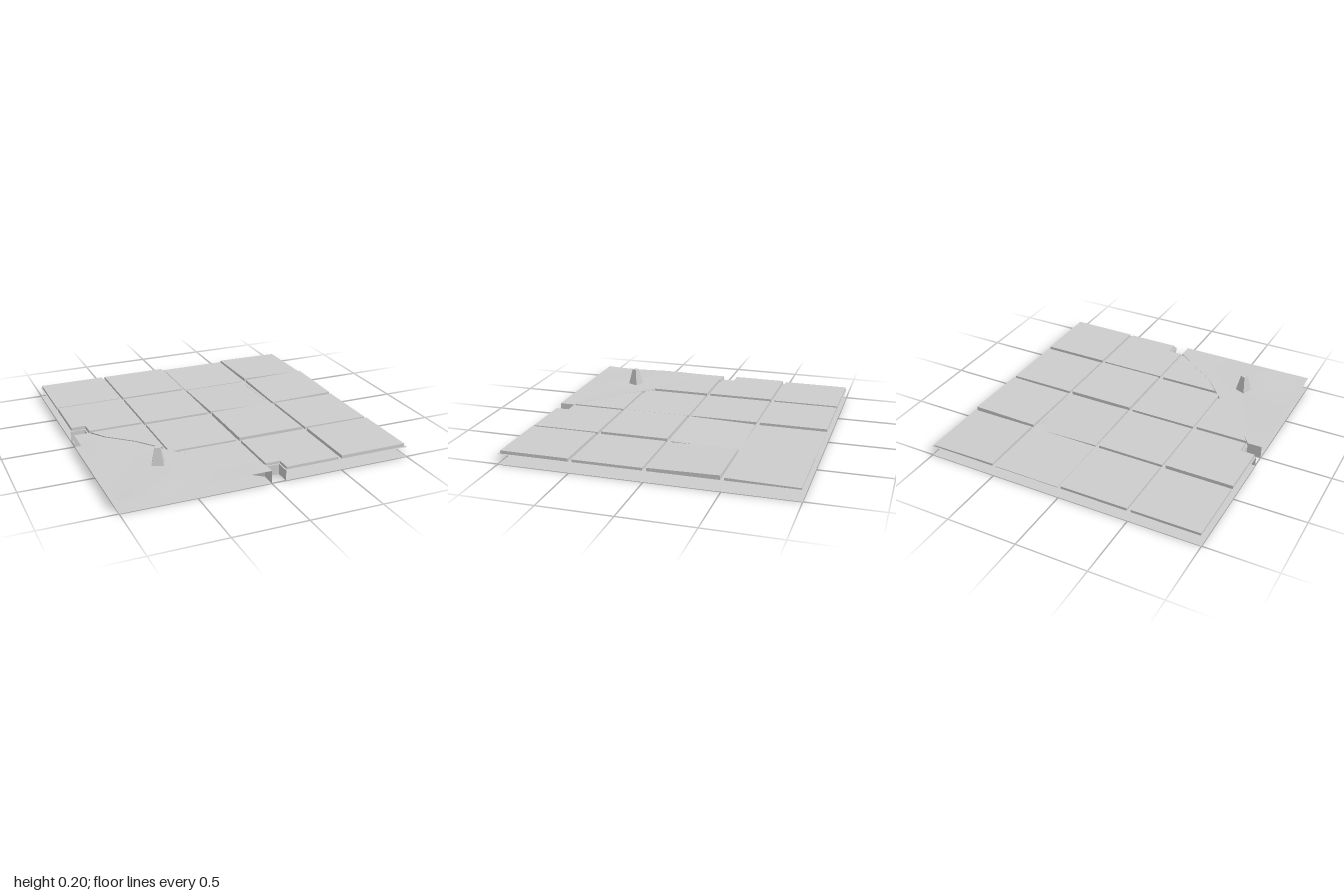
import * as THREE from 'three';

export function createModel() {
  const group = new THREE.Group();
  const stone = new THREE.MeshStandardMaterial({ color: 0xcccccc, side: THREE.DoubleSide });
  stone.name = 'stone grey';

  const add = (name, geometry) => {
    const mesh = new THREE.Mesh(geometry, stone);
    mesh.name = name;
    group.add(mesh);
    return mesh;
  };
  // Outline in x, z; lies flat once the geometry is turned by layFlat
  const outline = (pts) => new THREE.Shape(pts.map(([x, z]) => new THREE.Vector2(x, -z)));
  const layFlat = (geometry, y) => geometry.rotateX(-Math.PI / 2).translate(0, y, 0);

  const floorY = 0.07, moundY = 0.088;
  // Curved border between the paving and the mound, from notch to notch
  const border = [[-0.9, 0], [-0.82, 0.11], [-0.65, 0.26], [-0.5, 0.45], [-0.33, 0.65], [-0.16, 0.77], [0, 0.9]];
  const leftNotch = [[-1, -0.1], [-0.9, -0.1]];
  const frontNotch = [[0.1, 0.9], [0.1, 1]];
  const farSide = [[1, 1], [1, -1], [-1, -1]];

  // Thin base and raised paving bed
  add('base', layFlat(new THREE.ShapeGeometry(outline([
    ...leftNotch, [-0.9, 0], [-1, 0], [-1, 1], [0, 1], [0, 0.9], ...frontNotch, ...farSide,
  ])), 0));
  add('pavingBed', layFlat(new THREE.ShapeGeometry(outline([
    ...leftNotch, ...border, ...frontNotch, ...farSide,
  ])), floorY));

  // Upright walls around the notches and below the curved border
  const wall = (name, pts, top) => {
    const pos = [];
    for (let i = 0; i + 1 < pts.length; i++) {
      const [ax, az] = pts[i], [bx, bz] = pts[i + 1];
      pos.push(ax, 0, az, ax, top, az, bx, 0, bz, bx, 0, bz, ax, top, az, bx, top, bz);
    }
    const g = new THREE.BufferGeometry();
    g.setAttribute('position', new THREE.Float32BufferAttribute(pos, 3));
    g.computeVertexNormals();
    add(name, g);
  };
  wall('leftNotchWall', [...leftNotch, [-0.9, 0]], floorY);
  wall('frontNotchWall', [[0, 0.9], ...frontNotch], floorY);
  wall('moundWall', [[-1, 0], ...border, [0, 1]], moundY);

  // Paving slabs: top height with slight tilts in x and z, by row from the back
  const slabs = [
    [[0.088, 0, 0], [0.088, 0, 0], [0.074, 0, 0], [0.087, -0.006, 0.008]],
    [[0.095, 0, 0], [0.088, 0, 0], [0.08, -0.012, 0.012], [0.092, 0.008, -0.008]],
    [[0.094, 0, 0], [0.086, 0, 0], [0.095, 0, 0], [0.088, 0, 0]],
    [null, [0.087, 0, 0], [0.088, 0, 0], [0.092, 0, 0]],
  ];
  // Slabs cut by a notch or by the mound
  const cutSlabs = {
    '1,0': [[-0.99, -0.49], [-0.515, -0.49], [-0.515, -0.015], [-0.89, -0.015], [-0.89, -0.11], [-0.99, -0.11]],
    '2,0': [[-0.885, 0.01], [-0.515, 0.01], [-0.515, 0.43], [-0.65, 0.26], [-0.82, 0.11]],
    '3,1': [[-0.445, 0.51], [-0.015, 0.51], [-0.015, 0.885], [-0.16, 0.77], [-0.33, 0.65]],
    '3,2': [[0.01, 0.51], [0.485, 0.51], [0.485, 0.985], [0.11, 0.985], [0.11, 0.89], [0.01, 0.89]],
  };
  slabs.forEach((line, row) => line.forEach((slab, col) => {
    if (!slab) return;
    const [height, tiltX, tiltZ] = slab;
    const x = -0.99 + col * 0.5, z = -0.99 + row * 0.5, s = 0.475;
    const pts = cutSlabs[`${row},${col}`] || [[x, z], [x + s, z], [x + s, z + s], [x, z + s]];
    const g = layFlat(new THREE.ExtrudeGeometry(outline(pts), { depth: height - floorY, bevelEnabled: false }), floorY);
    const p = g.attributes.position;
    for (let i = 0; i < p.count; i++) {
      if (p.getY(i) > floorY + 0.001) {
        p.setY(i, height + tiltX * (p.getX(i) - x - s / 2) / s + tiltZ * (p.getZ(i) - z - s / 2) / s);
      }
    }
    g.computeVertexNormals();
    add('pavingSlab', g);
  }));

  // Gently rolling mound, spread from the corner out to the border
  const rim = [[-1, 0], ...border, [0, 1]], rings = 8, pos = [], index = [];
  rim.forEach(([rx, rz], i) => {
    for (let j = 0; j <= rings; j++) {
      const t = j / rings;
      const x = -1 + (rx + 1) * t, z = 1 + (rz - 1) * t;
      pos.push(x, moundY + 0.006 * Math.sin(x * 9 + 1) * Math.cos(z * 8) * (1 - t * t), z);
      if (i + 1 < rim.length && j < rings) {
        const a = i * (rings + 1) + j, c = a + rings + 1;
        index.push(a, c, a + 1, a + 1, c, c + 1);
      }
    }
  });
  const mound = new THREE.BufferGeometry();
  mound.setAttribute('position', new THREE.Float32BufferAttribute(pos, 3));
  mound.setIndex(index);
  mound.computeVertexNormals();
  add('mound', mound);

  // Tapered four-sided peg standing on the mound
  const pegGeometry = new THREE.CylinderGeometry(0.025, 0.058, 0.125, 4).toNonIndexed();
  pegGeometry.computeVertexNormals();
  const peg = add('peg', pegGeometry);
  peg.position.set(-0.622, 0.1425, 0.627);
  peg.rotation.y = 0.39;

  return group;
}
